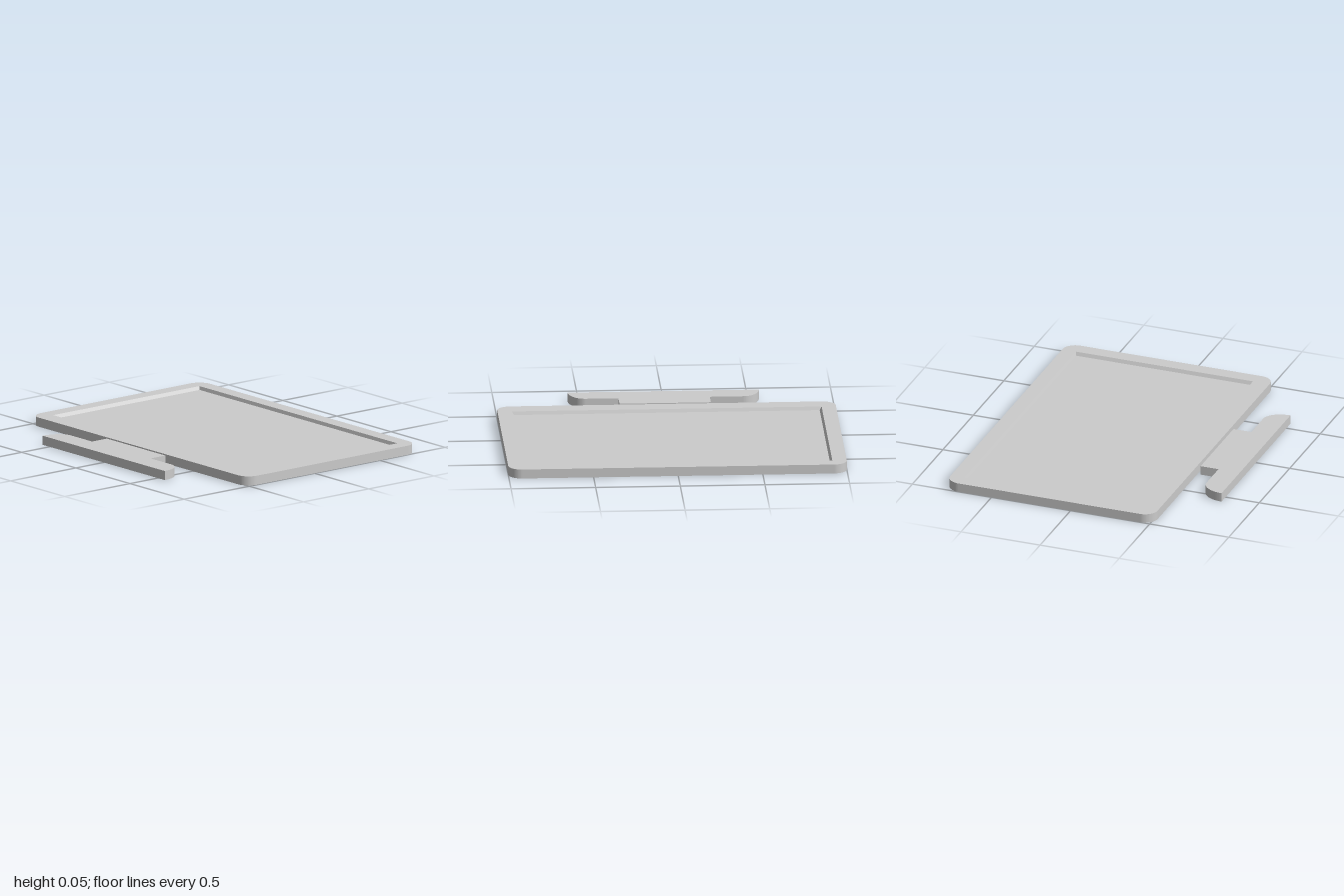
import * as THREE from 'three';

const THICK = 0.055;
const grey = () => new THREE.MeshStandardMaterial({ color: 0xcccccc });

// Extrude an outline drawn in (x, z) upward from y = 0
function slab(name, shape) {
  const geo = new THREE.ExtrudeGeometry(shape, { depth: THICK, bevelEnabled: false, curveSegments: 12 });
  geo.rotateX(Math.PI / 2).translate(0, THICK, 0);
  const mesh = new THREE.Mesh(geo, grey());
  mesh.name = name;
  return mesh;
}

export function createModel() {
  const model = new THREE.Group();
  model.name = 'flatMonitor';

  // Rounded bezel with a rectangular opening
  const x = 1, z0 = -0.79, z1 = 0.52, r = 0.08;
  const outline = new THREE.Shape();
  outline.absarc(x - r, z1 - r, r, 0, Math.PI / 2);
  outline.absarc(-x + r, z1 - r, r, Math.PI / 2, Math.PI);
  outline.absarc(-x + r, z0 + r, r, Math.PI, Math.PI * 1.5);
  outline.absarc(x - r, z0 + r, r, Math.PI * 1.5, Math.PI * 2);
  outline.closePath();
  const hx = 0.915, h0 = -0.705, h1 = 0.415;
  outline.holes.push(new THREE.Path([[-hx, h0], [-hx, h1], [hx, h1], [hx, h0]]
    .map(([a, b]) => new THREE.Vector2(a, b))));
  model.add(slab('bezel', outline));

  // Thin screen set inside the opening, recessed on both sides
  const top = 0.035, bottom = 0.03, midZ = (h0 + h1) / 2;
  const screen = new THREE.Mesh(new THREE.BoxGeometry(hx * 2, top - bottom, h1 - h0), grey());
  screen.position.set(0, (top + bottom) / 2, midZ);
  screen.name = 'screen';
  model.add(screen);

  // Sloped rim between the bezel face and the screen
  const rimGeo = new THREE.CylinderGeometry(hx * Math.SQRT2, (hx - 0.012) * Math.SQRT2, THICK - top, 4, 1, true)
    .rotateY(Math.PI / 4).toNonIndexed();
  rimGeo.scale(1, 1, (h1 - h0) / (2 * hx));
  rimGeo.computeVertexNormals();
  const rim = new THREE.Mesh(rimGeo, grey());
  rim.material.side = THREE.DoubleSide;
  rim.position.set(0, (THICK + top) / 2, midZ);
  rim.name = 'screenRim';
  model.add(rim);

  // Stand: neck block widening to a foot with rounded shoulders
  const stand = new THREE.Shape();
  stand.moveTo(-0.565, 0.787);
  stand.lineTo(0.565, 0.787);
  stand.absellipse(0.465, 0.787, 0.1, 0.134, 0, -Math.PI / 2, true);
  stand.lineTo(0.272, 0.653);
  stand.lineTo(0.272, 0.54);
  stand.lineTo(-0.268, 0.54);
  stand.lineTo(-0.268, 0.653);
  stand.absellipse(-0.465, 0.787, 0.1, 0.134, -Math.PI / 2, -Math.PI, true);
  model.add(slab('stand', stand));

  return model;
}
